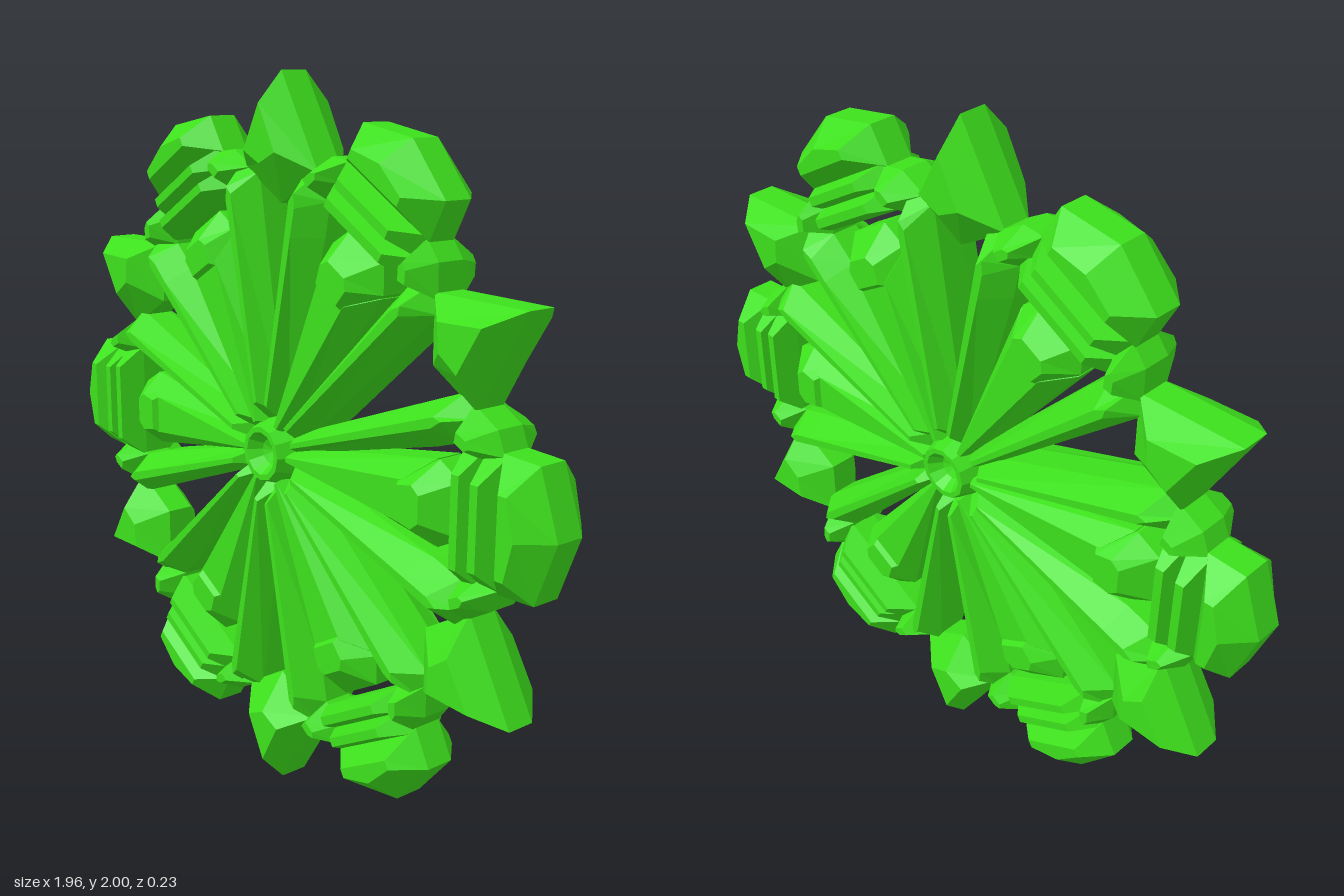
import * as THREE from 'three';

const material = new THREE.MeshStandardMaterial({ color: 0x3de01c, flatShading: true });
const MID = 0.04, TOP = 0.115;

// Double-sided bevelled gem: a wide girdle outline and a smaller crown outline,
// both convex, counter-clockwise, with matching corners [radial, tangential].
function gemGeometry(girdle, crown, top = TOP) {
  const rings = [[crown, -top], [girdle, -MID], [girdle, MID], [crown, top]]
    .map(([pts, z]) => pts.map(([x, y]) => [x, y, z]));
  const n = girdle.length, pos = [];
  const tri = (a, b, c) => pos.push(...a, ...b, ...c);
  for (let k = 0; k < 3; k++) {
    for (let i = 0; i < n; i++) {
      const j = (i + 1) % n, lo = rings[k], hi = rings[k + 1];
      tri(lo[i], lo[j], hi[j]);
      tri(lo[i], hi[j], hi[i]);
    }
  }
  for (let i = 1; i < n - 1; i++) {
    tri(rings[3][0], rings[3][i], rings[3][i + 1]);
    tri(rings[0][0], rings[0][i + 1], rings[0][i]);
  }
  const g = new THREE.BufferGeometry();
  g.setAttribute('position', new THREE.Float32BufferAttribute(pos, 3));
  g.computeVertexNormals();
  return g;
}

const flip = (pts) => pts.map(([r, t]) => [r, -t]).reverse();

// Tangential bar with a narrow crown
function barGeometry(r0, r1, w) {
  const m = (r0 + r1) / 2, e = 0.012, c = w - 0.06;
  return gemGeometry(
    [[r0, -w], [r1, -w], [r1, w], [r0, w]],
    [[m - e, -c], [m + e, -c], [m + e, c], [m - e, c]]);
}

export function createModel() {
  const model = new THREE.Group();
  model.name = 'snowflakeMedallion';
  const wheel = new THREE.Group();
  wheel.name = 'wheel';
  wheel.position.y = 1;
  model.add(wheel);

  // Parts of one sector, as [name, geometry]
  const parts = [];

  // Outer petal and the two bars behind it
  parts.push(['outerPetal', gemGeometry(
    [[0.81, -0.17], [0.92, -0.165], [0.98, 0], [0.92, 0.165], [0.81, 0.17]],
    [[0.865, -0.1], [0.89, -0.1], [0.915, 0], [0.89, 0.1], [0.865, 0.1]])]);
  parts.push(['outerBar', barGeometry(0.76, 0.825, 0.165)]);
  parts.push(['innerBar', barGeometry(0.7, 0.765, 0.175)]);

  // Inner petal: tapering stem and faceted head
  parts.push(['petalStem', gemGeometry(
    [[0.07, -0.02], [0.6, -0.11], [0.6, 0.11], [0.07, 0.02]],
    [[0.09, -0.006], [0.54, -0.055], [0.54, 0.055], [0.09, 0.006]], 0.1)]);
  parts.push(['petalHead', gemGeometry(
    [[0.49, -0.08], [0.61, -0.11], [0.68, -0.07], [0.68, 0.07], [0.61, 0.11], [0.49, 0.08]],
    [[0.54, -0.045], [0.59, -0.055], [0.615, -0.035], [0.615, 0.035], [0.59, 0.055], [0.54, 0.045]])]);

  // Paired spokes with the joints that hold the outer petal
  const spoke = [
    [[0.075, 0.005], [0.6, 0.14], [0.69, 0.17], [0.745, 0.235], [0.69, 0.29], [0.075, 0.061]],
    [[0.13, 0.042], [0.58, 0.185], [0.65, 0.207], [0.68, 0.228], [0.655, 0.235], [0.13, 0.056]]];
  const joint = [
    [[0.69, 0.17], [0.76, 0.14], [0.815, 0.16], [0.79, 0.22], [0.715, 0.265]],
    [[0.725, 0.19], [0.755, 0.175], [0.77, 0.182], [0.76, 0.2], [0.73, 0.215]]];
  for (const [name, [girdle, crown]] of [['Spoke', spoke], ['Joint', joint]]) {
    parts.push(['left' + name, gemGeometry(girdle, crown)]);
    parts.push(['right' + name, gemGeometry(flip(girdle), flip(crown))]);
  }

  // Pointed kite between neighbouring sectors
  const spike = gemGeometry(
    [[0.665, 0], [0.75, -0.15], [1, 0], [0.75, 0.15]],
    [[0.77, 0], [0.8, -0.065], [0.92, 0], [0.8, 0.065]]);
  spike.rotateZ(Math.PI / 6);
  parts.push(['spike', spike]);

  // Six equal sectors
  for (let i = 0; i < 6; i++) {
    const sector = new THREE.Group();
    sector.name = 'sector' + (i + 1);
    sector.rotation.z = i * Math.PI / 3;
    for (const [name, geometry] of parts) {
      const mesh = new THREE.Mesh(geometry, material);
      mesh.name = name;
      sector.add(mesh);
    }
    wheel.add(sector);
  }

  // Hub with a shallow dish on each side
  const profile = [[0, -0.065], [0.035, -0.08], [0.06, -TOP], [0.075, -TOP], [0.1, -MID],
    [0.1, MID], [0.075, TOP], [0.06, TOP], [0.035, 0.08], [0, 0.065]]
    .map(([r, y]) => new THREE.Vector2(r, y));
  const hub = new THREE.Mesh(new THREE.LatheGeometry(profile, 12), material);
  hub.name = 'hub';
  hub.rotation.x = Math.PI / 2;
  wheel.add(hub);

  return model;
}
